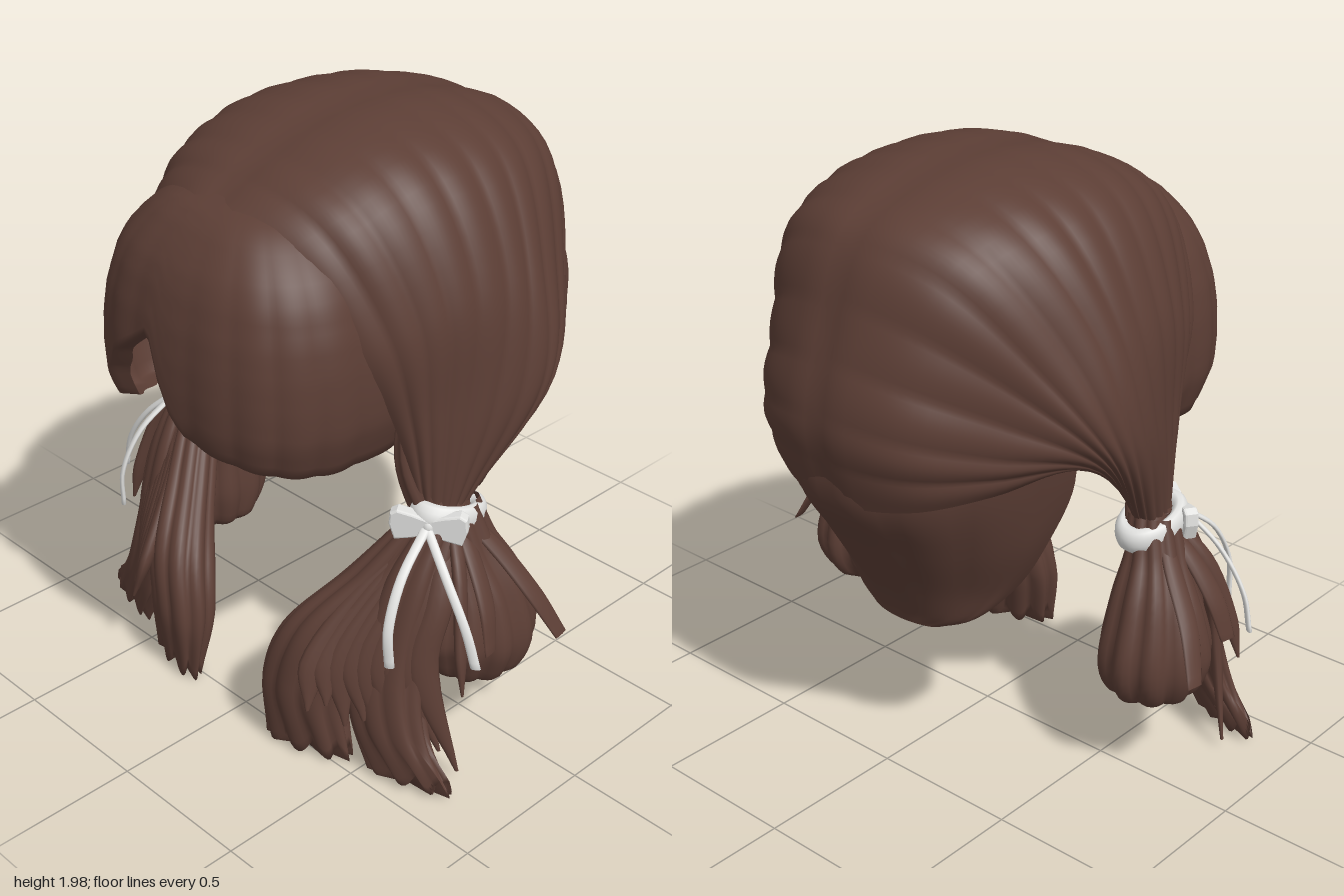
import * as THREE from 'three';
import { mergeVertices } from 'three/addons/utils/BufferGeometryUtils.js';

const V = (x, y, z) => new THREE.Vector3(x, y, z);
const spline = (pts) => new THREE.CatmullRomCurve3(pts);
const hair = new THREE.MeshStandardMaterial({ color: 0x5c3e35, side: THREE.DoubleSide });
hair.name = 'brown hair';
const ribbon = new THREE.MeshStandardMaterial({ color: 0xe2e2e0, side: THREE.DoubleSide });
ribbon.name = 'white ribbon';

function add(group, name, geometry, material = hair) {
  const mesh = new THREE.Mesh(geometry, material);
  mesh.name = name;
  group.add(mesh);
  return mesh;
}

// Smooth sheet from a rule f(u, v) -> Vector3
function sheet(nu, nv, f) {
  const pos = [], index = [];
  for (let i = 0; i <= nu; i++) {
    for (let j = 0; j <= nv; j++) {
      pos.push(...f(i / nu, j / nv).toArray());
      if (i < nu && j < nv) {
        const a = i * (nv + 1) + j, b = a + nv + 1;
        index.push(a, a + 1, b, b, a + 1, b + 1);
      }
    }
  }
  let g = new THREE.BufferGeometry();
  g.setAttribute('position', new THREE.Float32BufferAttribute(pos, 3));
  g.setIndex(index);
  g = mergeVertices(g, 1e-5);
  g.computeVertexNormals();
  return g;
}

// Sheet through a row of section curves, pushed in and out by bump(u, v)
function loft(sections, nu, nv, bump) {
  const curves = sections.map(spline), centre = V(0, 1.2, -0.1);
  const across = Array.from({ length: nv + 1 }, (_, j) => spline(curves.map((c) => c.getPoint(j / nv))));
  return sheet(nu, nv, (u, v) => {
    const p = across[Math.round(v * nv)].getPoint(u);
    const out = p.clone().sub(centre).normalize();
    return p.addScaledVector(out, bump(u, v));
  });
}

// Lock of hair: an oval swept along a path; sizes are [half width, half depth]
function lock(path, sizes, { turn = 0, ridges = 0, jag = 0, sides = 12, steps = 16 } = {}) {
  const curve = spline(path.map((p) => V(...p)));
  const size = spline(sizes.map((s) => V(s[0], s[1], 0)));
  const wide = V(Math.cos(turn), 0, Math.sin(turn));
  return sheet(steps + 1, sides, (u, v) => {
    const t = Math.min(1, u * (steps + 1) / steps), end = u === 1 ? 0 : 1;
    const a = v === 1 ? 0 : v * Math.PI * 2;
    const p = curve.getPoint(t), s = size.getPoint(t);
    const deep = curve.getTangent(t).cross(wide).normalize();
    const r = end * (1 - 0.14 * (ridges ? 1 - Math.abs(Math.sin(ridges * a / 2)) : 0));
    p.addScaledVector(wide, s.x * r * Math.cos(a)).addScaledVector(deep, s.y * r * Math.sin(a));
    p.y += end * jag * Math.max(0, t - 0.75) * 4 * (1 - Math.abs(Math.sin(ridges * a / 2 + 0.4)));
    return p;
  });
}

// Combed cap: guides run from the middle parting down to the hair tie
const guides = [
  [[0, 1.81, .55], [.28, 1.73, .52], [.47, 1.45, .42], [.50, 1.15, .29], [.53, .88, .22]],
  [[0, 1.90, .38], [.36, 1.82, .36], [.54, 1.5, .28], [.56, 1.2, .24], [.56, .88, .21]],
  [[0, 1.975, .15], [.39, 1.89, .14], [.585, 1.56, .12], [.60, 1.2, .14], [.59, .88, .17]],
  [[0, 1.995, -.1], [.41, 1.89, -.1], [.61, 1.56, -.07], [.65, 1.22, 0], [.60, .88, .12]],
  [[0, 1.965, -.33], [.38, 1.87, -.32], [.60, 1.56, -.22], [.68, 1.23, -.15], [.59, .88, .06]],
  [[0, 1.85, -.60], [.32, 1.78, -.54], [.54, 1.5, -.38], [.66, 1.22, -.22], [.56, .88, .04]],
  [[0, 1.58, -.72], [.27, 1.53, -.66], [.49, 1.38, -.45], [.63, 1.2, -.24], [.53, .88, .06]],
  [[0, 1.30, -.785], [.27, 1.27, -.715], [.45, 1.22, -.51], [.59, 1.17, -.25], [.51, .88, .09]],
  [[0, 1.05, -.735], [.26, 1.07, -.665], [.43, 1.11, -.48], [.54, 1.15, -.25], [.49, .9, .12]],
];

function addCap(group) {
  const sections = guides.map((g) => [
    ...g.slice(1).reverse().map(([x, y, z]) => V(-x, y, z)),
    ...g.map((p) => V(...p)),
  ]);
  add(group, 'combed cap', loft(sections, 112, 56, (u, v) => {
    const side = Math.abs(v - 0.5) * 2;
    const parting = -0.012 * Math.max(0, 1 - side * 14);
    return parting + 0.011 * Math.abs(Math.sin(u * Math.PI * 14)) * Math.min(1, side * 3) * (1.1 - side * 0.5);
  }));

  // Nape: shallow bowl narrowing downwards; rows are y, half width, back z, edge z
  const rows = [[1.22, .53, -.74, -.22], [1.05, .50, -.735, -.20], [.87, .44, -.625, -.24],
    [.70, .35, -.525, -.27], [.58, .25, -.465, -.36], [.53, .14, -.45, -.41]];
  const bowl = rows.map(([y, w, back, edge]) => Array.from({ length: 9 }, (_, i) => {
    const a = (i / 8 - 0.5) * Math.PI, s = Math.sin(a);
    return V(w * s, y, back + (edge - back) * (0.4 * s * s + 0.6 * (1 - Math.cos(a))));
  }));
  add(group, 'nape hair', loft(bowl, 24, 48, (u, v) => 0.012 * Math.abs(Math.sin(v * Math.PI * 8)) * (1 - u)));
}

// Read a value off a short list of [x, y] points
function read(list, x) {
  const i = Math.max(1, list.findIndex((p) => p[0] >= x));
  const [a, b] = [list[i - 1], list[i]];
  return a[1] + (b[1] - a[1]) * THREE.MathUtils.clamp((x - a[0]) / (b[0] - a[0]), 0, 1);
}

function addFringe(group) {
  const hem = [[-.6, 1.05], [-.45, 1.07], [-.36, 1.10], [-.31, 1.22], [-.24, 1.32], [-.05, 1.46],
    [.03, 1.24], [.09, 1.16], [.19, 1.13], [.47, 1.07], [.6, 1.05]];
  const swell = [[1, .88], [1.1, .95], [1.2, 1.01], [1.3, 1.02], [1.4, 1.01], [1.5, .98], [1.6, .92],
    [1.66, .86], [1.71, .78], [1.76, .68], [1.795, .57], [1.82, .40]];
  const round = (k) => Math.sign(k) * Math.abs(k) ** 0.76;
  add(group, 'fringe', sheet(100, 30, (u, v) => {
    const a = (u * 2 - 1) * 1.8;
    const x = 0.49 * round(Math.sin(a)), z = 0.43 * round(Math.cos(a));
    const t = Math.min(1, v * 30 / 28), drop = t ** 1.4;
    const y = 1.82 + (read(hem, x) - 1.82) * drop;
    // last rows turn inwards for a thick hem
    const tuck = v > 28.5 / 30 ? (v === 1 ? 0.88 : 0.95) : 1;
    const k = read(swell, y) * tuck * (1 - 0.02 * (1 - Math.abs(Math.sin(u * Math.PI * 11))) * t);
    return V(x * Math.min(k, k ** 1.2), y, 0.34 + z * k);
  }));
}

function addPigtail(group) {
  // Gathered strands just above the tie
  add(group, 'gathered hair', lock([[.50, 1.32, .22], [.49, 1.05, .2], [.54, .86, .14], [.57, .78, .13]],
    [[.02, .05], [.045, .08], [.075, .1], [.08, .1]], { ridges: 8, sides: 32 }));

  // Rounded rear bundle
  add(group, 'rear bundle', lock(
    [[.57, .88, .12], [.60, .75, .10], [.63, .6, .07], [.64, .43, .06], [.63, .31, .07], [.62, .25, .07]],
    [[.08, .09], [.10, .11], [.15, .16], [.18, .20], [.15, .155], [.05, .06]], { ridges: 10, sides: 60, steps: 24 }));

  // Two broad front locks, thin at the ends
  add(group, 'outer front lock', lock(
    [[.58, .87, .15], [.55, .62, .29], [.55, .35, .38], [.60, .18, .41], [.69, .02, .41]],
    [[.06, .07], [.13, .09], [.14, .08], [.14, .06], [.15, .03]],
    { turn: -0.3, ridges: 9, jag: .06, sides: 72, steps: 28 }));
  add(group, 'inner front lock', lock(
    [[.55, .87, .15], [.45, .63, .31], [.34, .43, .45], [.30, .25, .49], [.33, .01, .50]],
    [[.06, .07], [.11, .09], [.14, .11], [.15, .10], [.16, .05]],
    { turn: -0.3, ridges: 9, jag: .06, sides: 72, steps: 28 }));

  // Fan of thin strands round the outside of the front locks
  for (let i = 0; i < 9; i++) {
    const k = i / 8, tip = 0.04 + 0.22 * k + 0.05 * (i % 2);
    add(group, 'fan strand', lock(
      [[.59, .86, .17], [.67 - .20 * k, .64, .27 + .10 * k], [.67 - .26 * k, .42, .34 + .20 * k], [.77 - .34 * k, tip, .28 + .32 * k]],
      [[.02, .02], [.045, .025], [.05, .025], [.006, .005]], { turn: -0.9 }));
  }
  // Loose flat strands flicking outwards
  for (const [x, y, z] of [[.88, .45, -.06], [.82, .48, .2]]) {
    add(group, 'loose strand', lock(
      [[.58, .87, .13], [.70, .74, .13 + (z - .13) * .4], [.74 + (x - .74) * .5, (y + .74) / 2, .13 + (z - .13) * .7], [x, y, z]],
      [[.02, .012], [.035, .014], [.038, .012], [.03, .005]], { turn: 1.4 }));
  }
  add(group, 'loose strand', lock([[.59, .87, .15], [.70, .72, .22], [.77, .5, .28], [.80, .36, .3]],
    [[.02, .015], [.035, .02], [.03, .018], [.005, .004]], { turn: 1.2 }));

  // Hair tie, a little higher at the front
  const tie = add(group, 'hair tie', new THREE.TorusGeometry(.095, .03, 12, 40), ribbon);
  tie.scale.set(.8, 1.15, 1.5);
  tie.rotation.x = Math.PI / 2 - 0.25;
  tie.position.set(.56, .845, .125);

  // Bow with two loops, a knot and two tails
  const bow = new THREE.Group();
  bow.name = 'bow';
  for (const s of [-1, 1]) {
    const loop = new THREE.Shape([[0, .02], [.05, .035], [.095, .045], [.112, .035], [.115, 0], [.10, -.045], [.05, -.035], [0, -.02]]
      .map(([x, y]) => new THREE.Vector2(x * s, y)));
    add(bow, 'bow loop', new THREE.ExtrudeGeometry(loop,
      { depth: .03, bevelThickness: .008, bevelSize: .006, bevelSegments: 2 }), ribbon).position.z = -.015;
  }
  add(bow, 'bow knot', new THREE.SphereGeometry(.03, 16, 12), ribbon).scale.set(.8, 1, 1);
  bow.position.set(.585, .85, .235);
  bow.rotation.y = 0.6;
  group.add(bow);
  for (const [x, y, z] of [[.84, .48, .29], [.645, .47, .46]]) {
    add(group, 'bow tail', lock(
      [[.59, .85, .25], [.60 + (x - .6) * .45, .74, .27 + (z - .26) * .6], [.60 + (x - .6) * .85, .6, .27 + (z - .26) * .95], [x, y, z]],
      [[.016, .008], [.016, .008], [.016, .008], [.016, .008]], { turn: -0.6 }), ribbon);
  }
}

export function createModel() {
  const model = new THREE.Group();
  model.name = 'hair with pigtails';
  addCap(model);
  addFringe(model);
  for (const s of [1, -1]) {
    const pigtail = new THREE.Group();
    pigtail.name = s > 0 ? 'left pigtail' : 'right pigtail';
    addPigtail(pigtail);
    pigtail.scale.x = s;
    model.add(pigtail);
  }
  model.position.x = -0.02;
  return model;
}
